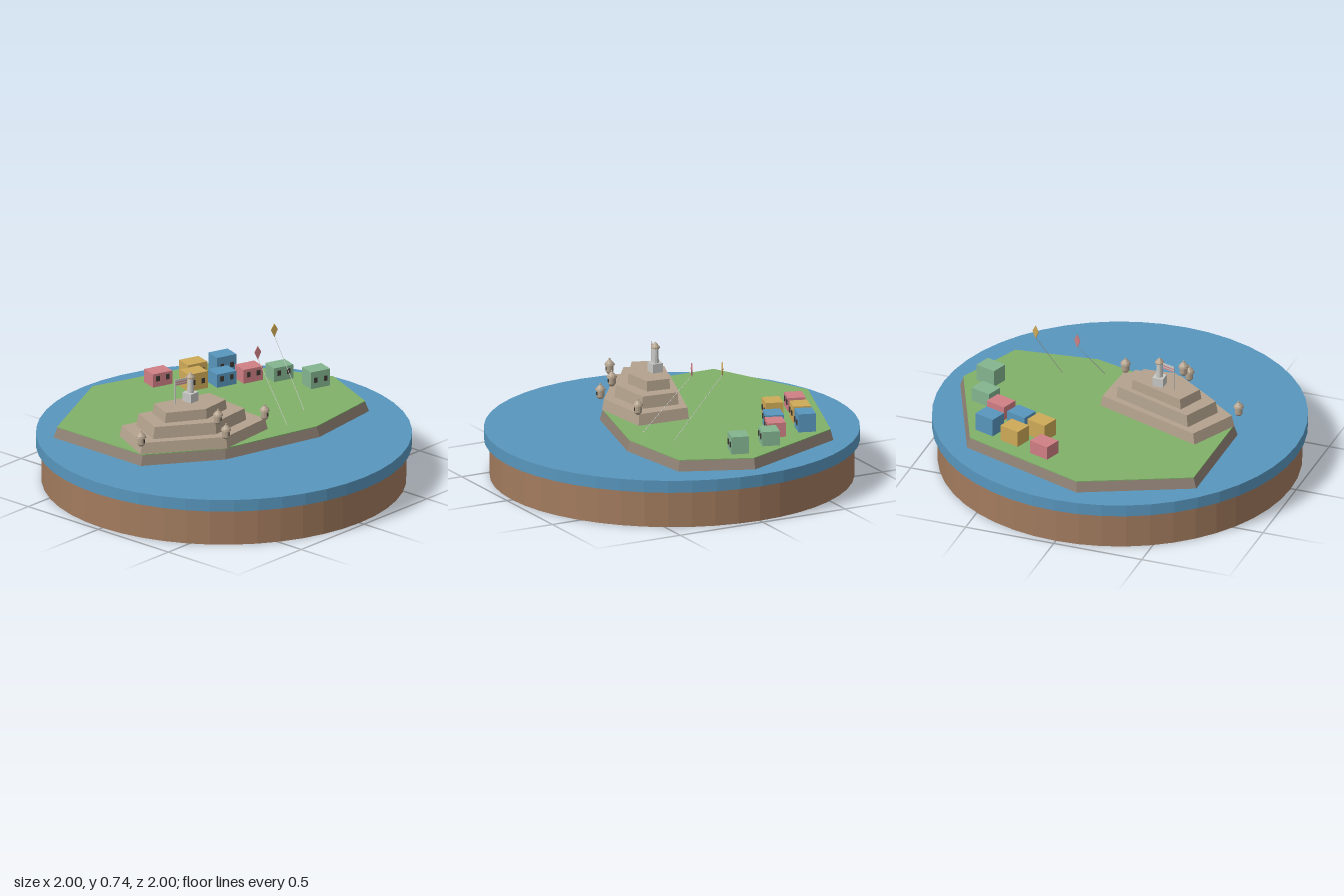
import * as THREE from 'three';

const material = (name, color) => new THREE.MeshStandardMaterial({ name, color, flatShading: true });

export function createModel() {
  const model = new THREE.Group();
  model.name = 'harbourIsland';
  const earth = material('earth brown', 0xa27b5e);
  const water = material('water blue', 0x5896bd);
  const wallStone = material('wall stone', 0x8d7f73);
  const stone = material('fort stone', 0xb3a28d);
  const grass = material('grass green', 0x82b16a);
  const dark = material('dark opening', 0x3d3733);
  const pale = material('pale plaster', 0xc9c9c6);
  const rose = material('rose', 0xcf7f84);
  const ochre = material('ochre', 0xcfaa58);
  const mint = material('mint', 0x84b590);
  rose.side = ochre.side = THREE.DoubleSide;

  const add = (parent, name, geometry, mat, x = 0, y = 0, z = 0) => {
    const mesh = new THREE.Mesh(geometry, mat);
    mesh.name = name;
    mesh.position.set(x, y, z);
    parent.add(mesh);
    return mesh;
  };

  // Upright prism over an [x, z] outline, widened at its foot about a centre
  const battered = (outline, height, flare, cx, cz) => {
    const shape = new THREE.Shape(outline.map(([x, z]) => new THREE.Vector2(x, -z)));
    const geo = new THREE.ExtrudeGeometry(shape, { depth: height, bevelEnabled: false });
    geo.rotateX(-Math.PI / 2);
    const p = geo.attributes.position;
    for (let i = 0; i < p.count; i++) {
      if (p.getY(i) > height / 2) continue;
      p.setX(i, cx + (p.getX(i) - cx) * flare);
      p.setZ(i, cz + (p.getZ(i) - cz) * flare);
    }
    geo.computeVertexNormals();
    return geo;
  };

  // Round base and sea
  add(model, 'earthBase', new THREE.CylinderGeometry(0.97, 0.97, 0.2, 48), earth, 0, 0.1);
  add(model, 'sea', new THREE.CylinderGeometry(1, 1, 0.066, 48), water, 0, 0.233);

  // Walled island with a grass top
  const coast = [[-0.08, -0.868], [0.618, -0.622], [0.885, -0.012], [0.728, 0.355],
    [0.28, 0.412], [-0.285, 0.265], [-0.648, 0.0], [-0.648, -0.61]];
  add(model, 'islandWall', battered(coast, 0.056, 1.025, 0.1, -0.2), wallStone, 0, 0.264);
  add(model, 'grass', battered(coast, 0.006, 1, 0, 0), grass, 0, 0.319);

  // Three stepped fort terraces
  const fort = new THREE.Group();
  fort.name = 'fort';
  model.add(fort);
  const terraces = [
    [0.323, 0.385, [[-0.515, -0.265], [0.08, -0.05], [0.065, 0.235], [-0.275, 0.262], [-0.638, -0.01]]],
    [0.384, 0.45, [[-0.455, -0.203], [-0.002, -0.035], [-0.022, 0.165], [-0.277, 0.188], [-0.545, -0.005]]],
    [0.449, 0.505, [[-0.395, -0.145], [-0.083, -0.03], [-0.097, 0.098], [-0.27, 0.115], [-0.455, -0.005]]],
  ];
  terraces.forEach(([y0, y1, outline], i) =>
    add(fort, `terrace${i + 1}`, battered(outline, y1 - y0, 1.04, -0.23, 0), stone, 0, y0));

  // Sentry boxes on the corners
  const sentryProfile = [[0, 0], [0.012, 0], [0.021, 0.012], [0.021, 0.048], [0.028, 0.048],
    [0.025, 0.058], [0.012, 0.072], [0.005, 0.077], [0.005, 0.084], [0, 0.088]]
    .map(([r, y]) => new THREE.Vector2(r, y));
  for (const [x, y, z] of [[-0.67, 0.384, 0.01], [-0.29, 0.384, 0.275], [0.058, 0.384, 0.238], [-0.282, 0.448, 0.21]]) {
    const sentry = new THREE.Group();
    sentry.name = 'sentryBox';
    sentry.position.set(x, y, z);
    add(sentry, 'sentryBody', new THREE.LatheGeometry(sentryProfile, 12), stone);
    add(sentry, 'sentrySlit', new THREE.BoxGeometry(0.007, 0.018, 0.006), dark, 0, 0.031, 0.02);
    fort.add(sentry);
  }

  // Lookout tower
  const tower = new THREE.Group();
  tower.name = 'lookoutTower';
  tower.position.set(-0.235, 0.505, -0.028);
  fort.add(tower);
  add(tower, 'towerBlock', new THREE.BoxGeometry(0.06, 0.05, 0.06), pale, 0, 0.025);
  add(tower, 'towerShaft', new THREE.CylinderGeometry(0.016, 0.019, 0.082, 12), pale, 0, 0.09);
  add(tower, 'towerGallery', new THREE.CylinderGeometry(0.024, 0.024, 0.008, 12), stone, 0, 0.134);
  add(tower, 'towerCap', new THREE.ConeGeometry(0.024, 0.028, 12), stone, 0, 0.152);

  // Flag with red bands
  const flag = new THREE.Group();
  flag.name = 'flag';
  flag.position.set(-0.327, 0.504, -0.055);
  flag.rotation.y = -0.3;
  fort.add(flag);
  add(flag, 'flagPole', new THREE.CylinderGeometry(0.003, 0.003, 0.142, 6), pale, 0, 0.071);
  add(flag, 'flagCloth', new THREE.BoxGeometry(0.07, 0.034, 0.003), pale, 0.036, 0.122);
  for (const y of [0.111, 0.124])
    add(flag, 'flagBand', new THREE.BoxGeometry(0.07, 0.006, 0.005), rose, 0.036, y);

  // Rows of painted houses: x, z, roof height, colour
  const houses = [
    [0.19, -0.64, 0.4, rose], [0.385, -0.565, 0.415, ochre], [0.55, -0.505, 0.425, water],
    [0.272, -0.46, 0.42, ochre], [0.415, -0.385, 0.4, water], [0.555, -0.32, 0.403, rose],
    [0.68, -0.215, 0.403, mint], [0.733, 0.0, 0.42, mint],
  ];
  for (const [x, z, top, paint] of houses) {
    const house = new THREE.Group();
    house.name = 'house';
    house.position.set(x, 0.324, z);
    house.rotation.y = -0.32;
    const h = top - 0.324;
    add(house, 'houseWalls', new THREE.BoxGeometry(0.118, h, 0.095), paint, 0, h / 2);
    for (const side of [-1, 1])
      add(house, 'houseWindow', new THREE.BoxGeometry(0.02, 0.028, 0.008), dark, side * 0.03, 0.048, 0.048);
    model.add(house);
  }

  // Kites on strings: ground point, kite point, colour
  const diamond = new THREE.Shape([[0, 0.038], [-0.02, 0.004], [0, -0.038], [0.02, 0.004]]
    .map(([x, y]) => new THREE.Vector2(x, y)));
  const kites = [[[0.19, 0.324, 0.28], [0.25, 0.65, 0.015], rose], [[0.405, 0.324, 0.21], [0.46, 0.7, -0.055], ochre]];
  for (const [foot, head, paint] of kites) {
    const end = new THREE.Vector3(...head).add(new THREE.Vector3(0, -0.03, 0));
    const line = new THREE.LineCurve3(new THREE.Vector3(...foot), end);
    add(model, 'kiteString', new THREE.TubeGeometry(line, 1, 0.0016, 5), pale);
    const geo = new THREE.ExtrudeGeometry(diamond, { depth: 0.005, bevelEnabled: false });
    add(model, 'kite', geo, paint, ...head).rotation.y = -0.35;
  }

  return model;
}
